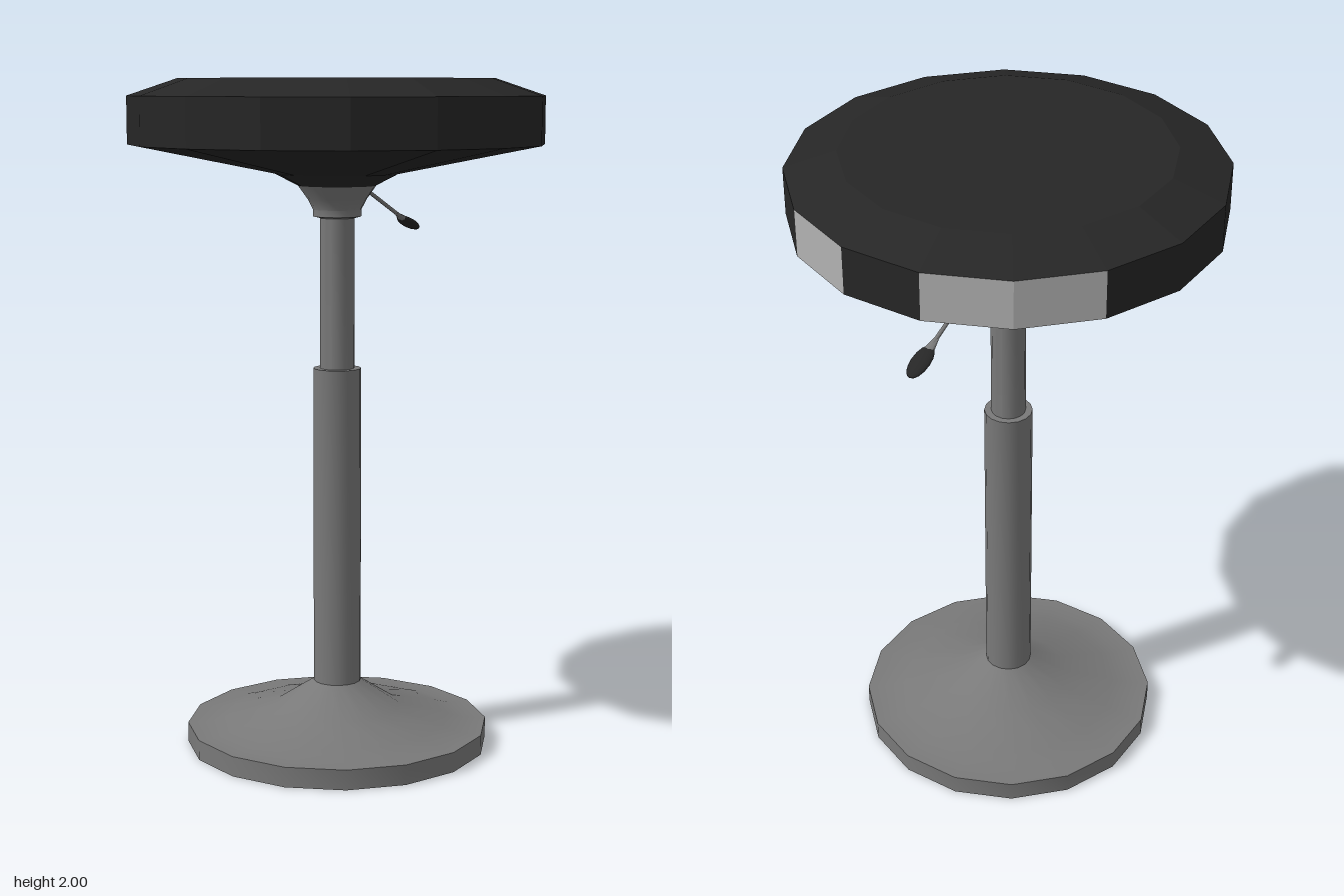
import * as THREE from 'three';
import { toCreasedNormals } from 'three/addons/utils/BufferGeometryUtils.js';

const SIDES = 16;
const STEP = (Math.PI * 2) / SIDES;

const material = (name, color) => {
  const m = new THREE.MeshStandardMaterial({ color });
  m.name = name;
  return m;
};

// Turned part from [across-flats radius, y] pairs, listed bottom to top
function turned(profile) {
  const k = 1 / Math.cos(STEP / 2);
  const points = profile.map(([r, y]) => new THREE.Vector2(r * k, y));
  return new THREE.LatheGeometry(points, SIDES, STEP / 2);
}

function flat(geometry) {
  const g = geometry.toNonIndexed();
  g.computeVertexNormals();
  return g;
}

const smooth = (geometry) => toCreasedNormals(geometry, 0.5);

export function createModel() {
  const black = material('black upholstery', 0x262626);
  const metal = material('grey metal', 0x797979);
  const pale = material('pale grey panel', 0xb2b2b2);

  const model = new THREE.Group();
  model.name = 'stool';
  const add = (name, geometry, mat, parent = model) => {
    const mesh = new THREE.Mesh(geometry, mat);
    mesh.name = name;
    parent.add(mesh);
    return mesh;
  };

  // Foot and telescopic column
  add('base', smooth(turned([
    [0, 0], [0.447, 0], [0.447, 0.06], [0.385, 0.06], [0.33, 0.077], [0.185, 0.113], [0.07, 0.19], [0, 0.19],
  ])), metal);
  add('lowerColumn', smooth(turned([[0.07, 0.18], [0.07, 1.15], [0, 1.15]])), metal);
  add('upperColumn', smooth(turned([[0.05, 1.14], [0.05, 1.61]])), metal);
  add('collar', smooth(turned([
    [0.05, 1.595], [0.07, 1.6], [0.07, 1.62], [0.085, 1.65], [0.113, 1.69],
  ])), metal);

  // Seat: shell, rim and bevelled cushion top
  const seat = new THREE.Group();
  seat.name = 'seat';
  model.add(seat);
  add('seatUnderside', flat(turned([[0, 1.69], [0.113, 1.69], [0.18, 1.725], [0.6, 1.81]])), black, seat);
  add('seatTop', flat(turned([[0.6, 1.95], [0.455, 2], [0, 2]])), black, seat);

  // Rim facets, three of them pale at the back
  const rim = flat(turned([[0.6, 1.81], [0.6, 1.95]]));
  const paleFacets = [6, 8, 9];
  rim.clearGroups();
  for (let i = 0; i < SIDES; i++) rim.addGroup(i * 6, 6, paleFacets.includes(i) ? 1 : 0);
  add('seatRim', rim, [black, pale], seat);

  // Height lever sloping down to the back, built along its own y axis
  const lever = new THREE.Group();
  lever.name = 'heightLever';
  lever.position.set(0, 1.705, -0.09);
  lever.rotation.x = -Math.PI / 2 - Math.atan2(0.172, 0.4);
  model.add(lever);
  const rod = new THREE.CylinderGeometry(0.006, 0.006, 0.32, 8);
  rod.translate(0, 0.16, 0);
  add('leverRod', rod, metal, lever);
  const neck = new THREE.CylinderGeometry(0.02, 0.007, 0.06, 8);
  neck.scale(1, 1, 0.45);
  neck.translate(0, 0.32, 0);
  add('leverNeck', neck, metal, lever);
  const paddle = new THREE.SphereGeometry(1, 12, 8);
  paddle.scale(0.03, 0.057, 0.011);
  paddle.translate(0, 0.378, 0);
  add('leverPaddle', paddle, black, lever);

  return model;
}
